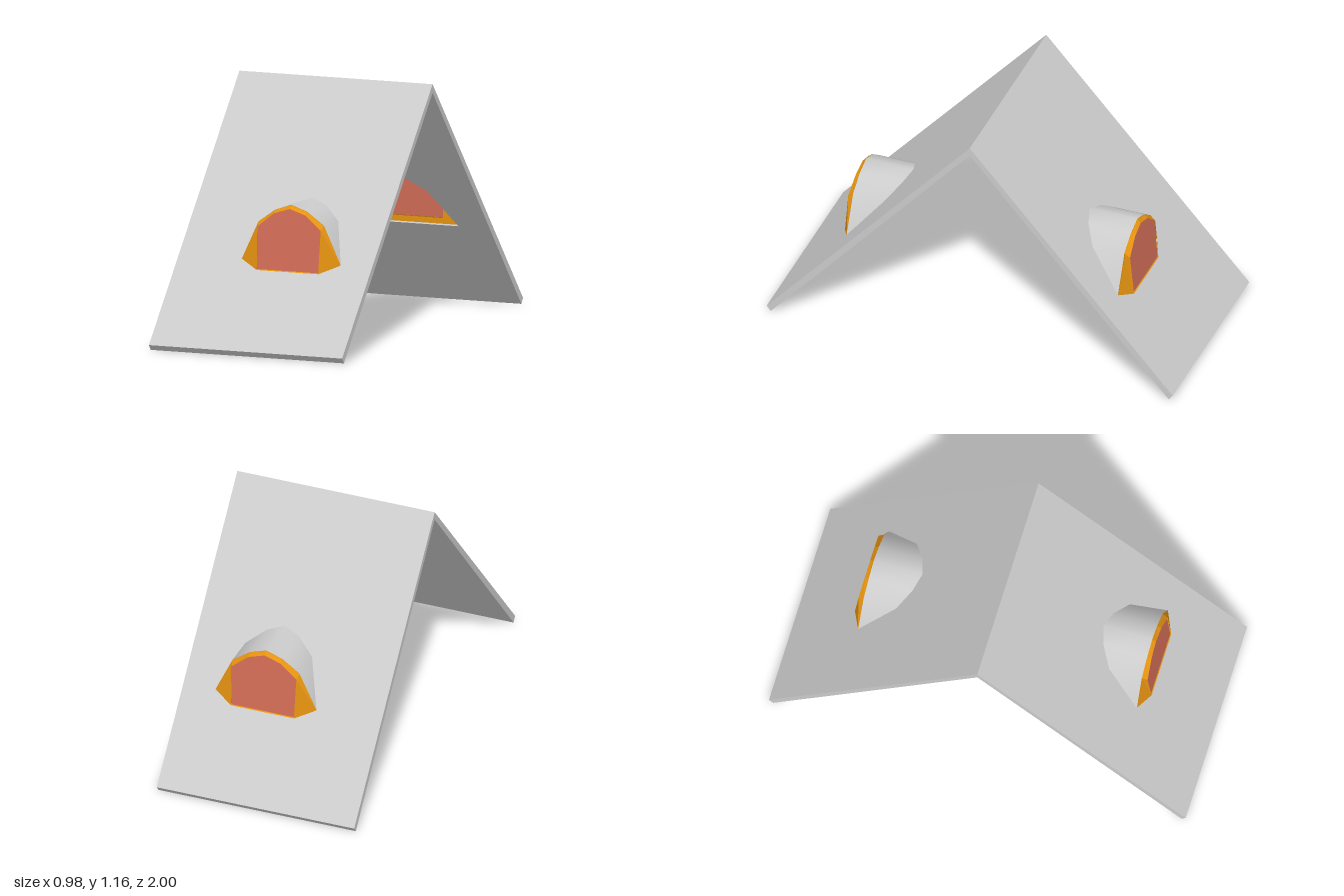
import * as THREE from 'three';

const grey = new THREE.MeshStandardMaterial({ color: 0xcccccc });
const greyThin = new THREE.MeshStandardMaterial({ color: 0xcccccc, side: THREE.DoubleSide });
const orange = new THREE.MeshStandardMaterial({ color: 0xe59310, side: THREE.DoubleSide, flatShading: true });
const red = new THREE.MeshStandardMaterial({ color: 0xd46e58, side: THREE.DoubleSide, flatShading: true });

const HALF_WIDTH = 0.488, RIDGE = 1.16, INNER_RIDGE = 1.12, FACE_Z = 0.668;
const outerZ = (y) => (RIDGE - y) / 1.135;
const innerZ = (y) => ((INNER_RIDGE - y) * 0.98) / INNER_RIDGE;

// Mirrors half a profile (last point on the centre line) and moves it to cx
function profile(half, cx) {
  const other = half.slice(0, -1).reverse().map(([x, y]) => [-x, y]);
  return [...half, ...other].map(([x, y]) => new THREE.Vector2(x + cx, y));
}

// Skin between two loops with equal point counts; z is a function of y
function loft(a, za, b, zb, closed) {
  const n = a.length, pos = [], index = [];
  a.forEach((p) => pos.push(p.x, p.y, za(p.y)));
  b.forEach((p) => pos.push(p.x, p.y, zb(p.y)));
  for (let i = 0; i < (closed ? n : n - 1); i++) {
    const j = (i + 1) % n;
    index.push(i, j, n + i, j, n + j, n + i);
  }
  const g = new THREE.BufferGeometry();
  g.setAttribute('position', new THREE.Float32BufferAttribute(pos, 3));
  g.setIndex(index);
  g.computeVertexNormals();
  return g;
}

function add(group, name, geometry, material) {
  const mesh = new THREE.Mesh(geometry, material);
  mesh.name = name;
  group.add(mesh);
}

// Roof panel: a wall with an opening, sheared onto the slope
function roofPanel(hole) {
  const shape = new THREE.Shape([
    new THREE.Vector2(-HALF_WIDTH, 0), new THREE.Vector2(HALF_WIDTH, 0),
    new THREE.Vector2(HALF_WIDTH, RIDGE), new THREE.Vector2(-HALF_WIDTH, RIDGE),
  ]);
  shape.holes.push(new THREE.Path(hole));
  const g = new THREE.ExtrudeGeometry(shape, { depth: 1, bevelEnabled: false });
  const p = g.attributes.position;
  for (let i = 0; i < p.count; i++) {
    const outside = p.getZ(i) > 0.5;
    const y = outside ? Math.max(p.getY(i), 0.025) : Math.min(p.getY(i), INNER_RIDGE);
    p.setY(i, y);
    p.setZ(i, outside ? outerZ(y) : innerZ(y));
  }
  g.computeVertexNormals();
  return g;
}

function roofSide(cx) {
  const side = new THREE.Group();
  const outer = profile([[-0.25, 0.4], [-0.165, 0.58], [-0.08, 0.64], [0, 0.667]], cx);
  const front = profile([[-0.155, 0.36], [-0.16, 0.56], [-0.08, 0.625], [0, 0.65]], cx);
  const opening = profile([[-0.155, 0.43], [-0.155, 0.56], [-0.08, 0.62], [0, 0.645]], cx);
  const face = () => FACE_Z;
  const frontZ = (y) => 0.712 - (y - 0.36) * 0.09;
  const paneZ = (y) => frontZ(y) - 0.004;

  add(side, 'roofPanel', roofPanel(outer), grey);
  add(side, 'dormerRoof', loft(outer, face, outer, outerZ, false), greyThin);

  // Window frame: splayed outside, flat ring behind, and inner reveal
  add(side, 'windowFrame', loft(outer, face, front, frontZ, true), orange);
  const ring = new THREE.Shape(outer);
  ring.holes.push(new THREE.Path(opening));
  add(side, 'windowFrameBack', new THREE.ShapeGeometry(ring).translate(0, 0, FACE_Z + 0.002), orange);
  add(side, 'windowReveal', loft(opening, face, front, paneZ, true), orange);

  // Window pane, leaning with the frame
  const pane = new THREE.ShapeGeometry(new THREE.Shape(front));
  const p = pane.attributes.position;
  for (let i = 0; i < p.count; i++) p.setZ(i, paneZ(p.getY(i)));
  pane.computeVertexNormals();
  add(side, 'windowPane', pane, red);
  return side;
}

export function createModel() {
  const model = new THREE.Group();
  model.name = 'gableRoof';
  const front = roofSide(0.08);
  front.name = 'frontSlope';
  // The back slope is turned around, so its dormer offset flips
  const back = roofSide(-0.08);
  back.name = 'backSlope';
  back.rotation.y = Math.PI;
  model.add(front, back);
  return model;
}
